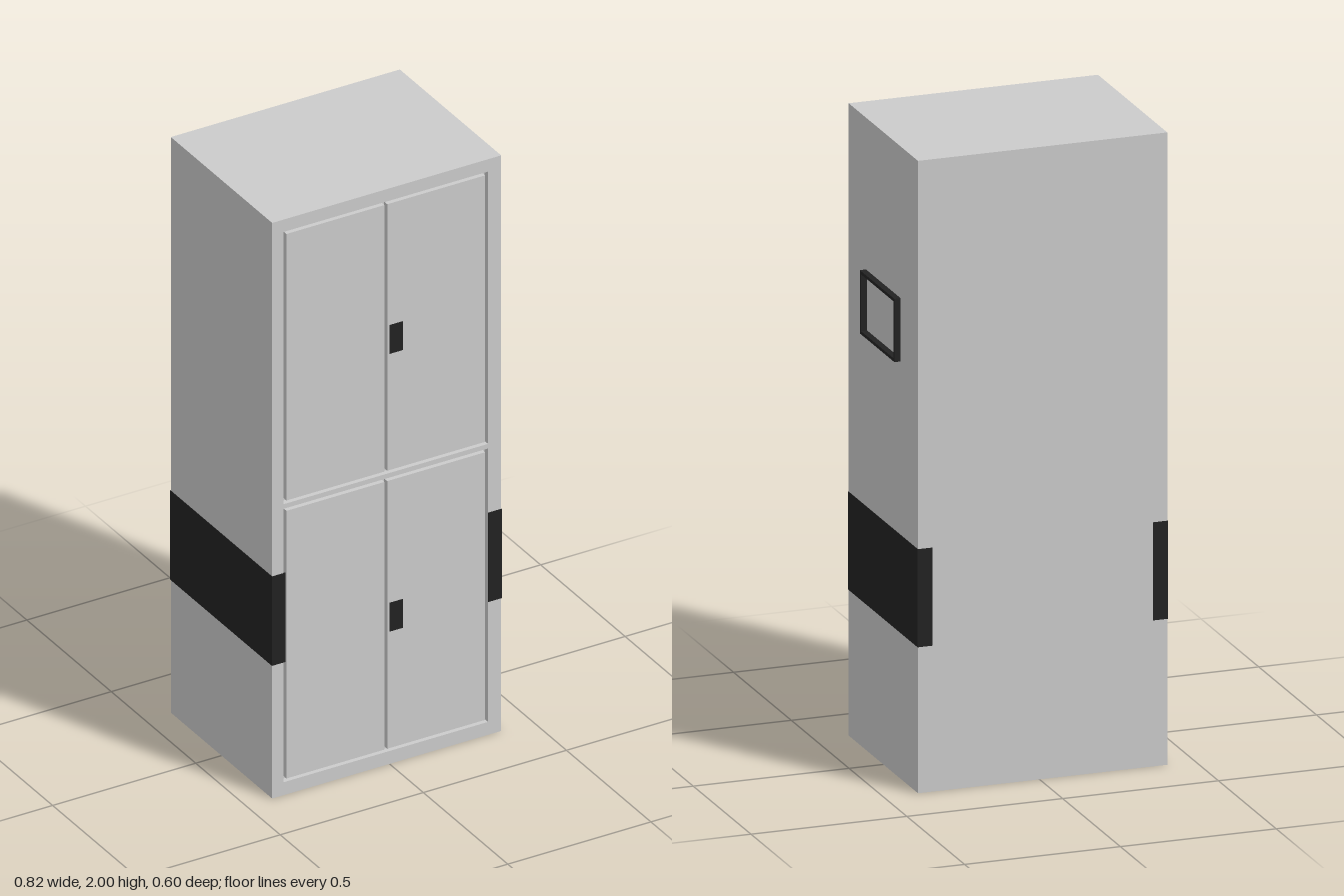
import * as THREE from 'three';

const grey = new THREE.MeshStandardMaterial({ color: 0xcccccc });
const black = new THREE.MeshStandardMaterial({ color: 0x222222 });

// Rectangle outline, used for both shapes and holes
function rect(x0, y0, x1, y1, Type = THREE.Shape) {
  return new Type([[x0, y0], [x1, y0], [x1, y1], [x0, y1]].map(p => new THREE.Vector2(...p)));
}

function extrude(shape, depth) {
  return new THREE.ExtrudeGeometry(shape, { depth, bevelEnabled: false });
}

export function createModel() {
  const group = new THREE.Group();
  const add = (name, geometry, material = grey) => {
    const mesh = new THREE.Mesh(geometry, material);
    mesh.name = name;
    group.add(mesh);
    return mesh;
  };
  const box = (name, x0, y0, z0, x1, y1, z1, material) =>
    add(name, new THREE.BoxGeometry(x1 - x0, y1 - y0, z1 - z0), material)
      .position.set((x0 + x1) / 2, (y0 + y1) / 2, (z0 + z1) / 2);

  const L = -0.41, R = 0.39, Z = 0.3, recess = 0.02;
  const openL = -0.37, openR = 0.344, seam = -0.013, gap = 0.01;
  const openings = [[0.045, 0.995], [1.011, 1.957]];

  // Cabinet carcass and face frame with two door openings
  box('carcass', L, 0, -Z, R, 2, Z - recess);
  const face = rect(L, 0, R, 2);
  for (const [y0, y1] of openings) face.holes.push(rect(openL, y0, openR, y1, THREE.Path));
  add('faceFrame', extrude(face, recess)).position.z = Z - recess;

  // Pairs of flush doors, with a dark pull on the one at +x
  openings.forEach(([y0, y1], i) => {
    const level = i ? 'upper' : 'lower';
    const z0 = Z - recess;
    box(level + 'RightDoor', openL + gap, y0 + gap, z0, seam - gap / 2, y1 - gap, Z);
    box(level + 'LeftDoor', seam + gap / 2, y0 + gap, z0, openR - gap, y1 - gap, Z);
    const h = i ? 1.425 : 0.46;
    box(level + 'Handle', 0, h, z0, 0.046, h + 0.1, Z + 0.001, black);
  });

  // Dark bands wrapping each side onto the front and back
  const t = 0.0015, wrap = 0.046;
  for (const [name, edge, s] of [['rightBand', L, 1], ['leftBand', R, -1]]) {
    const a = edge - s * t, b = edge + s * t, c = edge + s * wrap;
    const channel = new THREE.Shape([
      [a, -Z - t], [c, -Z - t], [c, -Z + t], [b, -Z + t],
      [b, Z - t], [c, Z - t], [c, Z + t], [a, Z + t],
    ].map(p => new THREE.Vector2(...p)));
    const geometry = extrude(channel, 0.31).rotateX(-Math.PI / 2);
    add(name, geometry, black).position.y = 0.462;
  }

  // Open label frame on the +x side
  const label = rect(-0.15, 1.32, 0.15, 1.52);
  label.holes.push(rect(-0.14, 1.33, 0.14, 1.51, THREE.Path));
  add('labelFrame', extrude(label, 0.02).rotateY(Math.PI / 2), black).position.x = R;

  return group;
}
